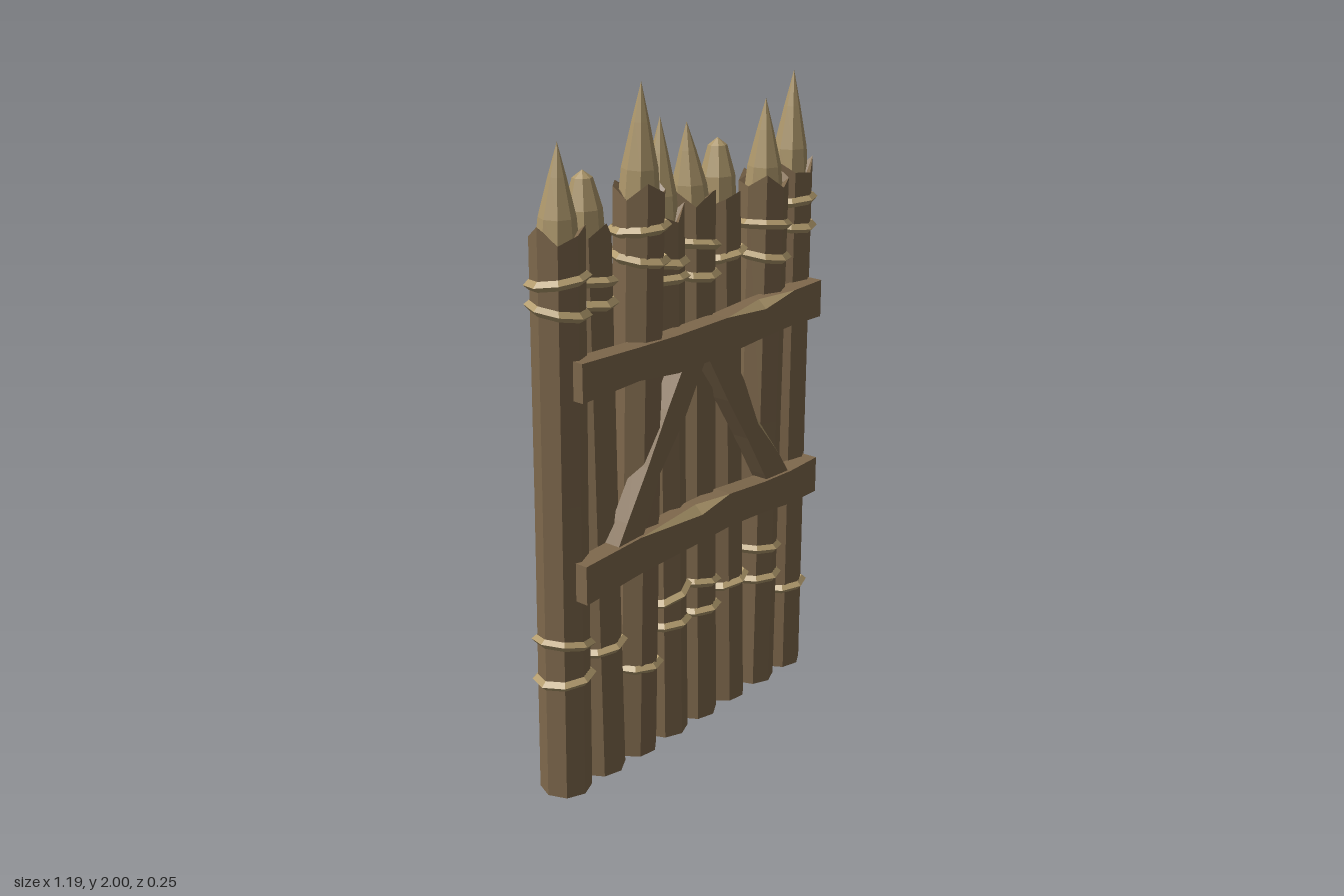
import * as THREE from 'three';

const SIDES = 8;
const DEPTH = 1.7; // height over which the lean of a log is measured

// Flat-faceted copy of a geometry
function facet(geo) {
  const g = geo.index ? geo.toNonIndexed() : geo;
  g.computeVertexNormals();
  return g;
}

function mesh(name, geo, material) {
  const m = new THREE.Mesh(facet(geo), material);
  m.name = name;
  return m;
}

function lathe(points) {
  return new THREE.LatheGeometry(points.map(([r, y]) => new THREE.Vector2(r, y)), SIDES);
}

// Move each vertex by a rule
function warp(geo, rule) {
  const p = geo.attributes.position, v = new THREE.Vector3();
  for (let i = 0; i < p.count; i++) {
    v.fromBufferAttribute(p, i);
    rule(v);
    p.setXYZ(i, v.x, v.y, v.z);
  }
  return geo;
}

// Bark-covered trunk with an uneven rim, a carved point and rope rings
function makeLog(spec, index, mats) {
  const { x, z, rim, tip, tipX, blunt, ropes } = spec;
  const log = new THREE.Group();
  log.name = 'log' + (index + 1);

  const trunk = lathe([[0, 0], [0.075, 0], [0.073, 0.9], [0.074, rim], [0.056, rim - 0.015], [0, rim - 0.03]]);
  warp(trunk, v => {
    if (v.y > 1 && Math.hypot(v.x, v.z) > 0.02) {
      const a = Math.round(Math.atan2(v.x, v.z) / (Math.PI / 4) + 8) % 8;
      v.y += 0.025 * Math.sin(a * 2.4 + index * 1.7);
    }
  });
  log.add(mesh('trunk', trunk, mats.bark));

  const base = rim - 0.045, h = tip - base;
  const profile = blunt
    ? [[0.058, 0], [0.052, 0.5], [0.028, 0.9], [0, 1]]
    : [[0.058, 0], [0.05, 0.3], [0.024, 0.68], [0, 1]];
  const spike = lathe(profile.map(([r, t]) => [r, base + t * h]));
  warp(spike, v => { v.x += tipX * (v.y - base) / h; });
  log.add(mesh('carvedPoint', spike, mats.wood));

  ropes.forEach(([y, tiltX, tiltZ]) => {
    const ring = new THREE.TorusGeometry(0.076, 0.0145, 4, SIDES);
    ring.rotateX(Math.PI / 2);
    warp(ring, v => { v.y += y + tiltX * v.x + tiltZ * v.z; });
    log.add(mesh('ropeRing', ring, mats.rope));
  });

  // Spin the facets, then lean the whole log from its foot
  log.children.forEach(c => { if (c.name === 'trunk') c.rotation.y = (index % 3) * 0.13; });
  log.position.set(x, 0, -0.005);
  log.rotation.x = Math.atan((z + 0.005) / DEPTH);
  return log;
}

// Hewn plank along x: stations are [x, bottom, top, chip], chip cuts the top front edge
function makePlank(name, stations, back, front, mats) {
  const sections = stations.map(([x, b, t, c]) => [
    [x, b, back], [x, b, front], [x, t - c, front], [x, t, front - c * 1.1], [x, t, back],
  ]);
  const faces = { plain: [], chip: [] };
  const quad = (list, a, b, c, d) => list.push(...a, ...b, ...c, ...a, ...c, ...d);
  for (let i = 0; i < sections.length - 1; i++) {
    const s = sections[i], n = sections[i + 1];
    for (let j = 0; j < 5; j++) {
      const k = (j + 1) % 5;
      quad(j === 2 ? faces.chip : faces.plain, s[j], n[j], n[k], s[k]);
    }
  }
  // End faces
  const first = sections[0], last = sections[sections.length - 1];
  for (let j = 1; j < 4; j++) {
    faces.plain.push(...first[0], ...first[j], ...first[j + 1]);
    faces.plain.push(...last[0], ...last[j + 1], ...last[j]);
  }
  // The ring of corners runs clockwise seen from +x, so reverse the end caps
  const caps = faces.plain.length - 54;
  for (let i = caps; i < faces.plain.length; i += 9) {
    for (let c = 0; c < 3; c++) {
      const t = faces.plain[i + 3 + c];
      faces.plain[i + 3 + c] = faces.plain[i + 6 + c];
      faces.plain[i + 6 + c] = t;
    }
  }
  const group = new THREE.Group();
  group.name = name;
  [['board', faces.plain, mats.bark], ['hewnChip', faces.chip, mats.wood]].forEach(([label, list, mat]) => {
    const g = new THREE.BufferGeometry();
    g.setAttribute('position', new THREE.Float32BufferAttribute(list, 3));
    // Corner order above yields outward sides only when checked against the plank's centre line
    group.add(mesh(label, orient(g, stations, back, front), mat));
  });
  return group;
}

// Turn every triangle to face away from the nearest point of the plank's core
function orient(geo, stations, back, front) {
  const p = geo.attributes.position;
  const x0 = stations[0][0], x1 = stations[stations.length - 1][0];
  const midY = (stations[0][1] + stations[0][2]) / 2;
  const [a, b, c] = [0, 1, 2].map(() => new THREE.Vector3());
  for (let i = 0; i < p.count; i += 3) {
    [a, b, c].forEach((v, k) => v.fromBufferAttribute(p, i + k));
    const normal = b.clone().sub(a).cross(c.clone().sub(a));
    const mid = a.clone().add(b).add(c).divideScalar(3);
    const core = new THREE.Vector3(THREE.MathUtils.clamp(mid.x, x0 + 0.01, x1 - 0.01), midY, (back + front) / 2);
    if (normal.dot(mid.sub(core)) < 0) {
      p.setXYZ(i + 1, c.x, c.y, c.z);
      p.setXYZ(i + 2, b.x, b.y, b.z);
    }
  }
  return geo;
}

export function createModel() {
  const mats = {};
  [['bark', 0x7e684c], ['wood', 0xac966a], ['rope', 0xb39c6e]].forEach(([name, color]) => {
    mats[name] = new THREE.MeshStandardMaterial({ color });
    mats[name].name = name;
  });

  const model = new THREE.Group();
  model.name = 'palisadeGate';

  // Rope rings are [height, slope along x, slope along z]
  const logs = [
    { x: -0.508, z: 0.015, rim: 1.65, tip: 1.88, tipX: 0.005, ropes: [[1.52, 0.05, 0.15], [1.44, -0.15, -0.1], [0.47, -0.25, 0.1], [0.36, 0.03, 0.1]] },
    { x: -0.362, z: -0.03, rim: 1.62, tip: 1.78, tipX: 0, blunt: true, ropes: [[1.48, -0.15, 0.1], [1.43, -0.1, -0.1], [0.4, 0.05, 0.1]] },
    { x: -0.218, z: 0.04, rim: 1.72, tip: 2.0, tipX: 0.003, ropes: [[1.61, 0.03, 0.1], [1.53, -0.1, -0.1], [0.285, -0.1, 0.1]] },
    { x: -0.075, z: -0.018, rim: 1.62, tip: 1.88, tipX: 0.012, ropes: [[1.49, -0.1, -0.15], [1.43, -0.05, 0.1], [0.46, 0.25, 0.1], [0.365, -0.05, 0.1]] },
    { x: 0.067, z: -0.02, rim: 1.645, tip: 1.85, tipX: -0.015, ropes: [[1.5, -0.2, 0.1], [1.42, -0.08, -0.1], [0.45, -0.2, 0.1], [0.36, -0.05, 0.1]] },
    { x: 0.21, z: -0.04, rim: 1.61, tip: 1.78, tipX: 0.005, blunt: true, ropes: [[1.44, 0.1, 0.1], [0.4, 0.1, 0.1]] },
    { x: 0.36, z: 0.018, rim: 1.645, tip: 1.88, tipX: 0, ropes: [[1.51, -0.15, 0.1], [1.42, -0.12, -0.1], [0.465, -0.15, 0.1], [0.365, -0.06, 0.1]] },
    { x: 0.505, z: 0.0, rim: 1.66, tip: 1.94, tipX: 0.015, ropes: [[1.555, 0.02, 0.1], [1.485, -0.05, -0.12], [0.28, 0, 0.1]] },
  ];
  logs.forEach((spec, i) => model.add(makeLog(spec, i, mats)));

  // Cross beams on the front
  model.add(makePlank('upperBeam', [
    [-0.525, 1.205, 1.315, 0], [-0.3, 1.21, 1.305, 0], [-0.14, 1.19, 1.3, 0], [0.08, 1.19, 1.3, 0],
    [0.26, 1.2, 1.31, 0.025], [0.4, 1.205, 1.312, 0], [0.535, 1.2, 1.315, 0],
  ], 0.05, 0.11, mats));
  model.add(makePlank('lowerBeam', [
    [-0.525, 0.62, 0.735, 0], [-0.3, 0.635, 0.745, 0], [-0.03, 0.64, 0.75, 0.025], [0.1, 0.645, 0.75, 0],
    [0.27, 0.635, 0.735, 0], [0.4, 0.62, 0.73, 0], [0.535, 0.62, 0.735, 0],
  ], 0.05, 0.11, mats));

  // Diagonal braces, from the top middle down to both sides
  [['rightBrace', -0.04, -0.355], ['leftBrace', 0.04, 0.365]].forEach(([name, topX, footX]) => {
    const dx = footX - topX, dy = 0.7 - 1.22, length = Math.hypot(dx, dy);
    const brace = makePlank(name, [
      [0, -0.042, 0.042, 0], [length * 0.3, -0.045, 0.042, 0], [length * 0.58, -0.042, 0.043, 0.024],
      [length * 0.85, -0.045, 0.042, 0], [length, -0.045, 0.045, 0],
    ], 0.045, 0.1, mats);
    brace.position.set(topX, 1.22, 0);
    brace.rotation.z = Math.atan2(dy, dx);
    model.add(brace);
  });

  return model;
}
